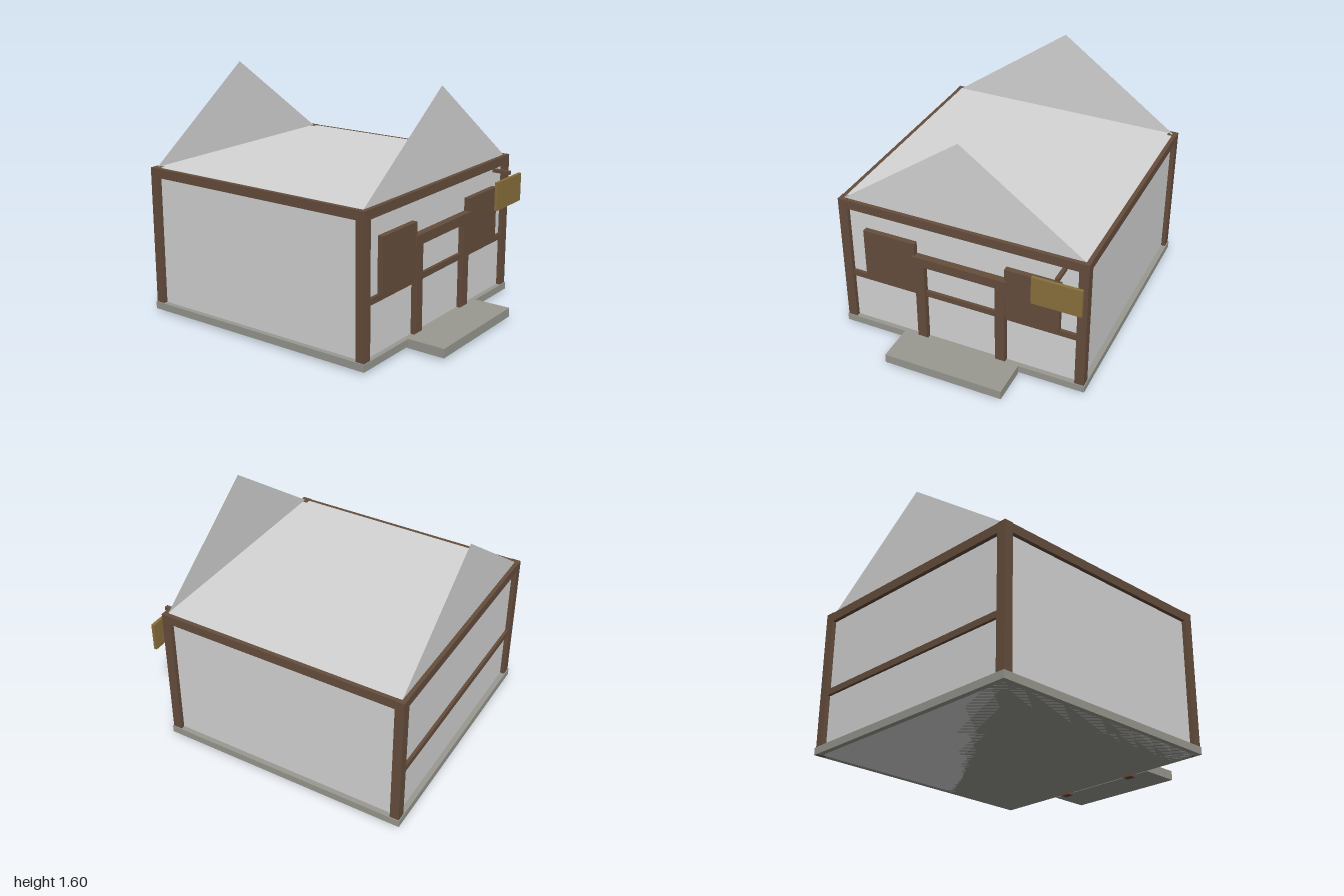
import * as THREE from 'three';

export function createModel() {
  const house = new THREE.Group();
  house.name = 'house';

  const material = (name, color, extra = {}) => {
    const m = new THREE.MeshStandardMaterial({ color, ...extra });
    m.name = name;
    return m;
  };
  const plaster = material('plaster', 0xd6d6d6, { side: THREE.DoubleSide });
  const timber = material('timber', 0x664e3d);
  const stone = material('stone', 0x999991);
  const signWood = material('signWood', 0x8a713c);

  // Box given by its lower and upper limits on each axis
  const box = (name, mat, [x0, x1], [y0, y1], [z0, z1]) => {
    const mesh = new THREE.Mesh(new THREE.BoxGeometry(x1 - x0, y1 - y0, z1 - z0), mat);
    mesh.position.set((x0 + x1) / 2, (y0 + y1) / 2, (z0 + z1) / 2);
    mesh.name = name;
    house.add(mesh);
  };
  // Interval reflected to the given side of x = 0
  const side = (s, a, b) => (s > 0 ? [a, b] : [-b, -a]);

  // Foundation, front step and plastered walls
  box('foundation', stone, [-0.863, 0.863], [0.02, 0.07], [-1, 0.727]);
  box('frontStep', stone, [-0.413, 0.413], [0.02, 0.082], [0.735, 1]);
  box('walls', plaster, [-0.827, 0.827], [0.02, 1.005], [-0.964, 0.693]);

  // Corner posts and side top beams
  for (const s of [-1, 1]) {
    box('cornerPost', timber, side(s, 0.793, 0.857), [0.02, 1.005], [0.66, 0.722]);
    box('cornerPost', timber, side(s, 0.793, 0.857), [0.02, 1.005], [-0.994, -0.932]);
    box('sideTopBeam', timber, side(s, 0.797, 0.854), [0.942, 1.004], [-0.932, 0.66]);
  }

  // Front and back beams, rails and gables
  const triangle = new THREE.Shape([
    new THREE.Vector2(-0.827, 1.003),
    new THREE.Vector2(0.827, 1.003),
    new THREE.Vector2(0, 1.6),
  ]);
  for (const [end, wall, turn] of [['front', 0.693, 0], ['back', -0.964, Math.PI]]) {
    const span = (d) => [wall - d, wall + d];
    box(end + 'TopBeam', timber, [-0.793, 0.793], [0.942, 1.004], span(0.027));
    box(end + 'MiddleRail', timber, [-0.793, 0.793], [0.411, 0.453], span(0.02));
    const gable = new THREE.Mesh(new THREE.ShapeGeometry(triangle), plaster);
    gable.position.z = wall;
    gable.rotation.y = turn;
    gable.name = end + 'Gable';
    house.add(gable);
  }

  // Door frame and shutters
  for (const s of [-1, 1]) {
    box('doorPost', timber, side(s, 0.248, 0.313), [0, 0.67], [0.685, 0.735]);
    box('shutter', timber, side(s, 0.312, 0.68), [0.447, 0.813], [0.69, 0.73]);
  }
  box('doorLintel', timber, [-0.33, 0.33], [0.66, 0.726], [0.682, 0.742]);

  // Hanging sign and its bracket
  box('signBracket', timber, [0.682, 0.707], [0.908, 0.932], [0.69, 0.82]);
  box('signBoard', signWood, [0.528, 0.857], [0.692, 0.886], [0.798, 0.819]);

  return house;
}
